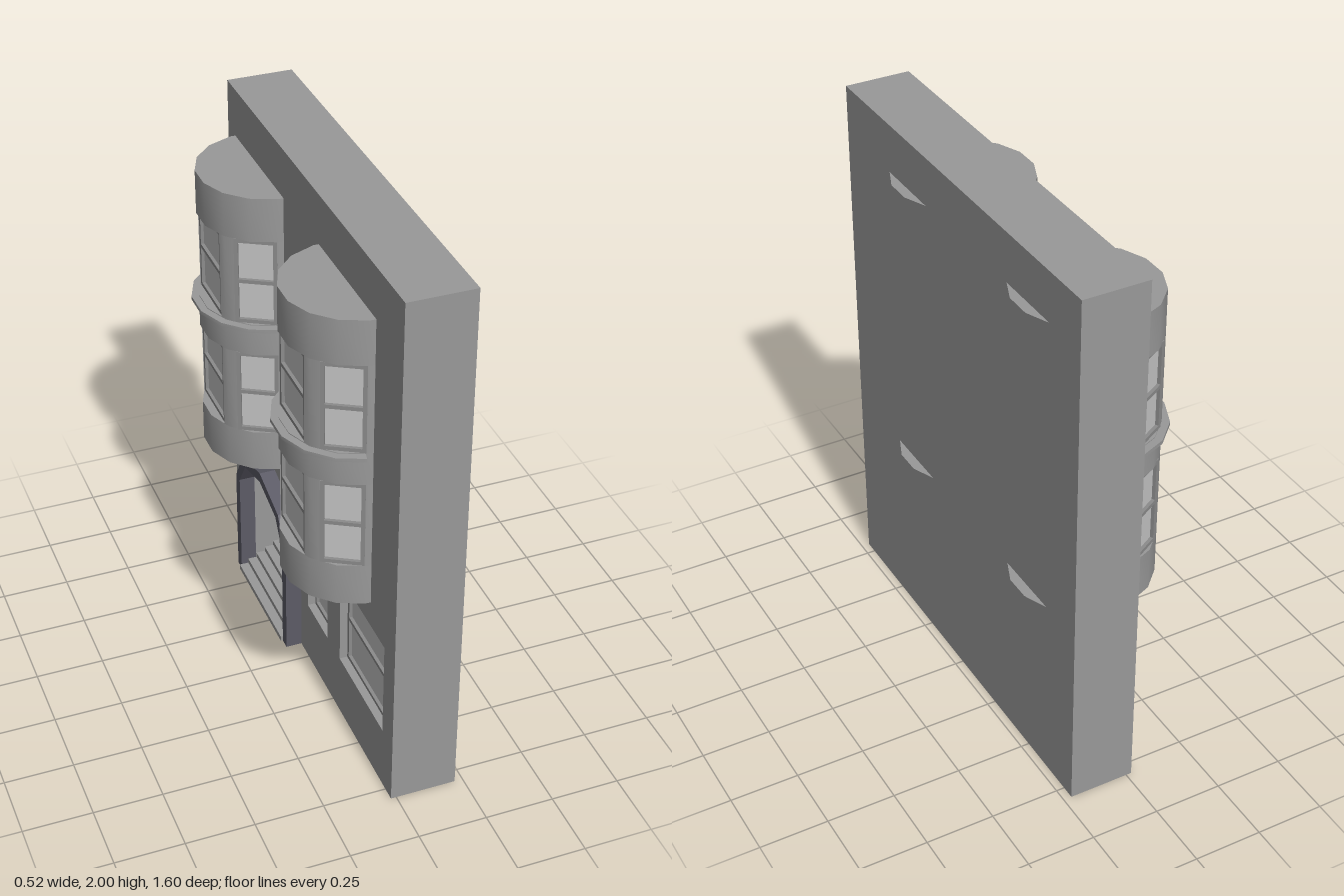
import * as THREE from 'three';
import { toCreasedNormals } from 'three/addons/utils/BufferGeometryUtils.js';

const stone = new THREE.MeshStandardMaterial({ color: 0x999999, side: THREE.DoubleSide });
stone.name = 'stone';
const frameGrey = new THREE.MeshStandardMaterial({ color: 0x8c8c8c });
frameGrey.name = 'window frame grey';
const glass = new THREE.MeshStandardMaterial({ color: 0xc6c6c6 });
glass.name = 'pale glass';
const slate = new THREE.MeshStandardMaterial({ color: 0x5c5b66 });
slate.name = 'dark slate';

const deg = Math.PI / 180;
const DOOR_Z = -0.355, SPRING = 0.43;
const BAY_X = 0.01, BAY_R = 0.25;

function add(parent, name, geometry, material) {
  const mesh = new THREE.Mesh(geometry, material);
  mesh.name = name;
  parent.add(mesh);
  return mesh;
}

const toShape = pts => new THREE.Shape(pts.map(p => new THREE.Vector2(p[0], p[1])));

function rectPath(x0, y0, x1, y1) {
  return new THREE.Path([[x0, y0], [x1, y0], [x1, y1], [x0, y1]].map(p => new THREE.Vector2(p[0], p[1])));
}

// Extrudes a (z, y) outline along x, from xOuter (street side) to xInner
function facadeExtrude(shape, xOuter, xInner) {
  const g = new THREE.ExtrudeGeometry(shape, { depth: xInner - xOuter, bevelEnabled: false });
  return g.rotateY(-Math.PI / 2).translate(xInner, 0, 0);
}

// Faceted arch from its left foot to its right foot
function archPoints(half, rise) {
  const pts = [[DOOR_Z - half, 0]];
  for (let i = 0; i <= 4; i++) {
    const a = Math.PI - i * Math.PI / 4;
    pts.push([DOOR_Z + half * Math.cos(a), SPRING + rise * Math.sin(a)]);
  }
  pts.push([DOOR_Z + half, 0]);
  return pts;
}

// Two-pane sash window facing local +z, centred on its own origin
function makeWindow(name, w, h) {
  const group = new THREE.Group();
  group.name = name;
  const b = 0.014, x = w / 2, y = h / 2;
  const shape = toShape([[-x, -y], [x, -y], [x, y], [-x, y]]);
  shape.holes.push(rectPath(-x + b, -y + b, x - b, -b / 2), rectPath(-x + b, b / 2, x - b, y - b));
  add(group, 'sashFrame', new THREE.ExtrudeGeometry(shape, { depth: 0.02, bevelEnabled: false }), frameGrey);
  add(group, 'panes', new THREE.BoxGeometry(w - b, h - b, 0.008), glass).position.z = 0.004;
  return group;
}

// Radius of the sixteen-sided bay at an angle measured from -x
function facetRadius(a, r) {
  const step = 22.5;
  const off = a - Math.round(a / step) * step;
  return r * Math.cos(11.25 * deg) / Math.cos(off * deg);
}

// Curved wall piece between two angles (degrees) and two heights
function wallSector(a0, a1, y0, y1, rOut, rIn) {
  const angles = [a0];
  for (let a = -78.75; a < 90; a += 22.5) if (a > a0 + 0.1 && a < a1 - 0.1) angles.push(a);
  angles.push(a1);
  const at = (a, r) => {
    const f = facetRadius(a, r);
    return [-f * Math.cos(a * deg), -f * Math.sin(a * deg)];
  };
  const pts = angles.map(a => at(a, rOut)).concat(angles.slice().reverse().map(a => at(a, rIn)));
  const g = new THREE.ExtrudeGeometry(toShape(pts), { depth: y1 - y0, bevelEnabled: false });
  g.rotateX(-Math.PI / 2).translate(0, y0, 0);
  return toCreasedNormals(g, 0.5);
}

function makeBay(z) {
  const bay = new THREE.Group();
  bay.name = 'bay';
  bay.position.set(BAY_X, 0, z);
  const rIn = BAY_R - 0.035;

  // Solid bands below, between and above the windows
  for (const [y0, y1] of [[0.71, 0.87], [1.2, 1.325], [1.655, 1.82]]) {
    add(bay, 'bayBand', wallSector(-90, 90, y0, y1, BAY_R, rIn), stone);
  }
  // Piers between the windows, and the windows themselves
  for (const [y0, y1] of [[0.87, 1.2], [1.325, 1.655]]) {
    for (const [a0, a1] of [[-90, -77], [-42, -28], [28, 42], [77, 90]]) {
      add(bay, 'bayPier', wallSector(a0, a1, y0, y1, BAY_R, rIn), stone);
    }
    for (const [a, w, r] of [[0, 0.232, 0.195], [60, 0.15, 0.218], [-60, 0.15, 0.218]]) {
      const win = makeWindow('bayWindow', w, y1 - y0);
      const c = Math.cos(a * deg), s = Math.sin(a * deg);
      win.position.set(-r * c, (y0 + y1) / 2, r * s);
      win.rotation.y = Math.atan2(-c, s);
      bay.add(win);
    }
  }
  // Thin ledge under the upper windows
  add(bay, 'ledge', wallSector(-77, 77, 1.308, 1.322, 0.277, rIn), stone);

  // Flat discs closing top and bottom, running through the wall
  for (const y of [0.71, 1.82]) {
    const disc = new THREE.CircleGeometry(BAY_R, 16, 11.25 * deg).rotateX(y > 1 ? -Math.PI / 2 : Math.PI / 2);
    add(bay, 'bayCap', disc, stone).position.y = y;
  }
  return bay;
}

export function createModel() {
  const model = new THREE.Group();
  model.name = 'townhouseFacade';

  // Main wall in three layers: windows and doorway, doorway only, solid back
  const groundWindows = [[-0.01, 0.19], [0.31, 0.71]];
  const outline = () => toShape([[-0.8, 0], ...archPoints(0.235, 0.15), [0.8, 0], [0.8, 2], [-0.8, 2]]);
  const frontShape = outline();
  for (const [z0, z1] of groundWindows) frontShape.holes.push(rectPath(z0, 0.24, z1, 0.61));
  add(model, 'frontWall', facadeExtrude(frontShape, -0.02, 0.03), stone);
  add(model, 'middleWall', facadeExtrude(outline(), 0.03, 0.2), stone);
  add(model, 'backWall', new THREE.BoxGeometry(0.02, 2, 1.6), stone).position.set(0.21, 1, 0);

  // Ground floor windows set into the wall
  for (const [z0, z1] of groundWindows) {
    const win = makeWindow('groundWindow', z1 - z0, 0.37);
    win.position.set(0.029, 0.425, (z0 + z1) / 2);
    win.rotation.y = -Math.PI / 2;
    model.add(win);
  }

  // Arched door surround
  const surround = toShape([...archPoints(0.275, 0.19), ...archPoints(0.235, 0.15).reverse()]);
  add(model, 'doorSurround', facadeExtrude(surround, -0.08, -0.02), slate);

  // Steps rising to a landing inside the doorway
  for (let i = 0; i < 6; i++) {
    const x0 = -0.088 + 0.035 * i, depth = 0.2 - x0;
    add(model, 'step', new THREE.BoxGeometry(depth, 0.02, 0.468), stone)
      .position.set(x0 + depth / 2, 0.01 + 0.02 * i, DOOR_Z);
  }

  // Two rounded bays
  for (const z of [-0.48, 0.34]) model.add(makeBay(z));

  return model;
}
